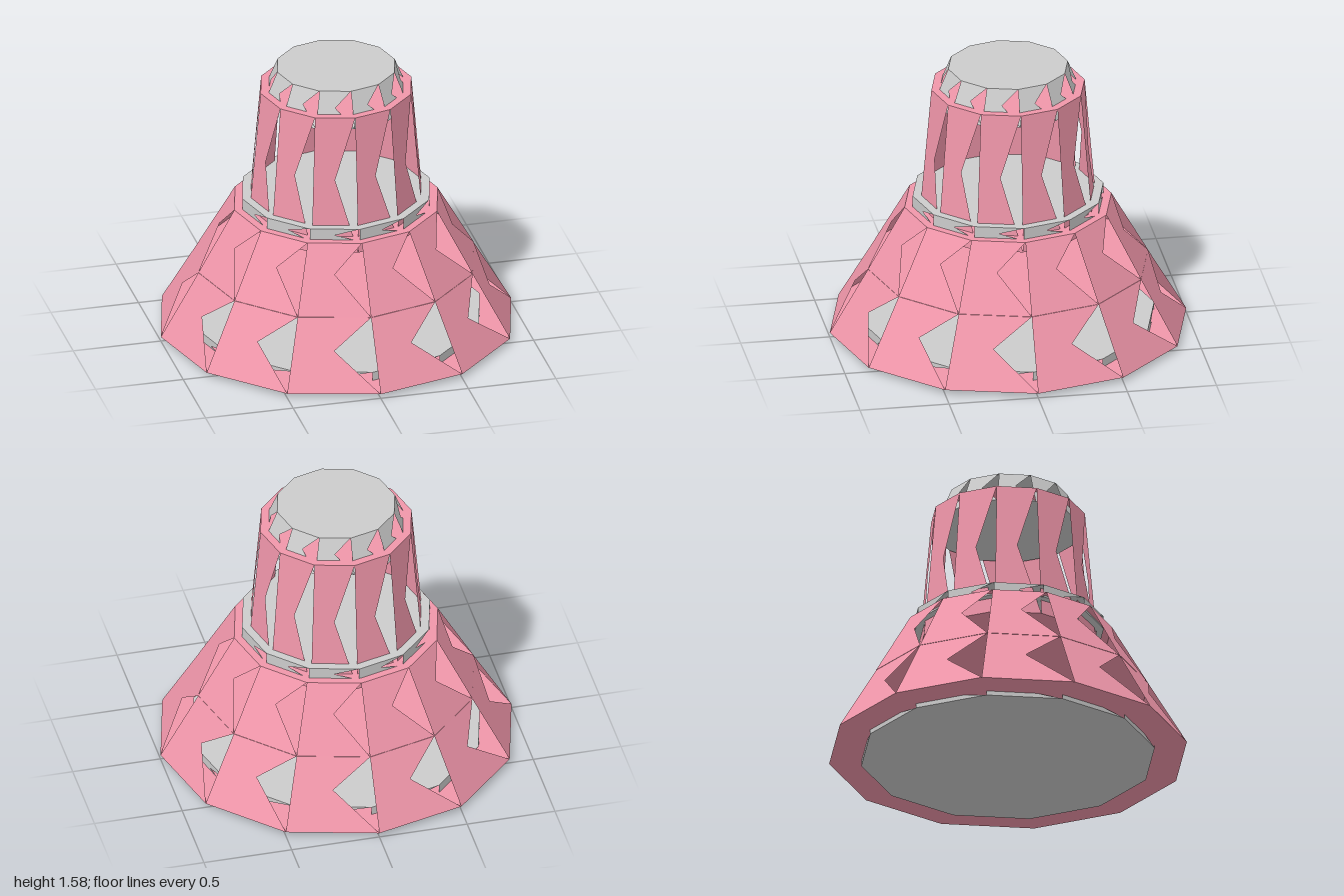
import * as THREE from 'three';

const SIDES = 12;
const style = { flatShading: true, side: THREE.DoubleSide };
const grey = new THREE.MeshStandardMaterial({ color: 0xcccccc, ...style });
const pink = new THREE.MeshStandardMaterial({ color: 0xf096aa, ...style });

// Point on a twelve-sided ring, corner 0 at the front, counting towards +x
function corner(i, r, y) {
  const a = (i / SIDES) * Math.PI * 2;
  return [r * Math.sin(a), y, r * Math.cos(a)];
}

// Openwork wall: in each panel an upright and a hanging triangle overlap
// along the left edge and leave a triangular opening at the right edge
function openWall(rBottom, rTop, y0, y1) {
  const points = [];
  for (let i = 0; i < SIDES; i++) {
    const [bl, br] = [corner(i, rBottom, y0), corner(i + 1, rBottom, y0)];
    const [tl, tr] = [corner(i, rTop, y1), corner(i + 1, rTop, y1)];
    points.push(bl, br, tl, bl, tr, tl);
  }
  const geometry = new THREE.BufferGeometry();
  geometry.setAttribute('position', new THREE.Float32BufferAttribute(points.flat(), 3));
  geometry.computeVertexNormals();
  return geometry;
}

// Full twelve-sided disc, facing up or down
function disc(r, y, up) {
  return new THREE.CircleGeometry(r, SIDES).rotateX(up ? -Math.PI / 2 : Math.PI / 2).translate(0, y, 0);
}

function add(parent, name, geometry, material) {
  const mesh = new THREE.Mesh(geometry, material);
  mesh.name = name;
  parent.add(mesh);
}

// One tier: openwork wall closed by a disc at each end
function tier(name, material, rBottom, rTop, y0, y1) {
  const group = new THREE.Group();
  group.name = name;
  add(group, name + 'Wall', openWall(rBottom, rTop, y0, y1), material);
  add(group, name + 'Bottom', disc(rBottom, y0, false), material);
  add(group, name + 'Top', disc(rTop, y1, true), material);
  return group;
}

export function createModel() {
  const model = new THREE.Group();
  model.name = 'tieredTower';
  model.add(
    tier('base', grey, 0.82, 0.82, 0, 0.075),
    tier('lowerSkirt', pink, 1, 0.785, 0.025, 0.394),
    tier('upperSkirt', pink, 0.785, 0.58, 0.396, 0.755),
    tier('collar', grey, 0.535, 0.535, 0.745, 0.82),
    tier('neck', pink, 0.5, 0.43, 0.66, 1.455),
    tier('cap', grey, 0.415, 0.335, 1.38, 1.575),
  );
  return model;
}
